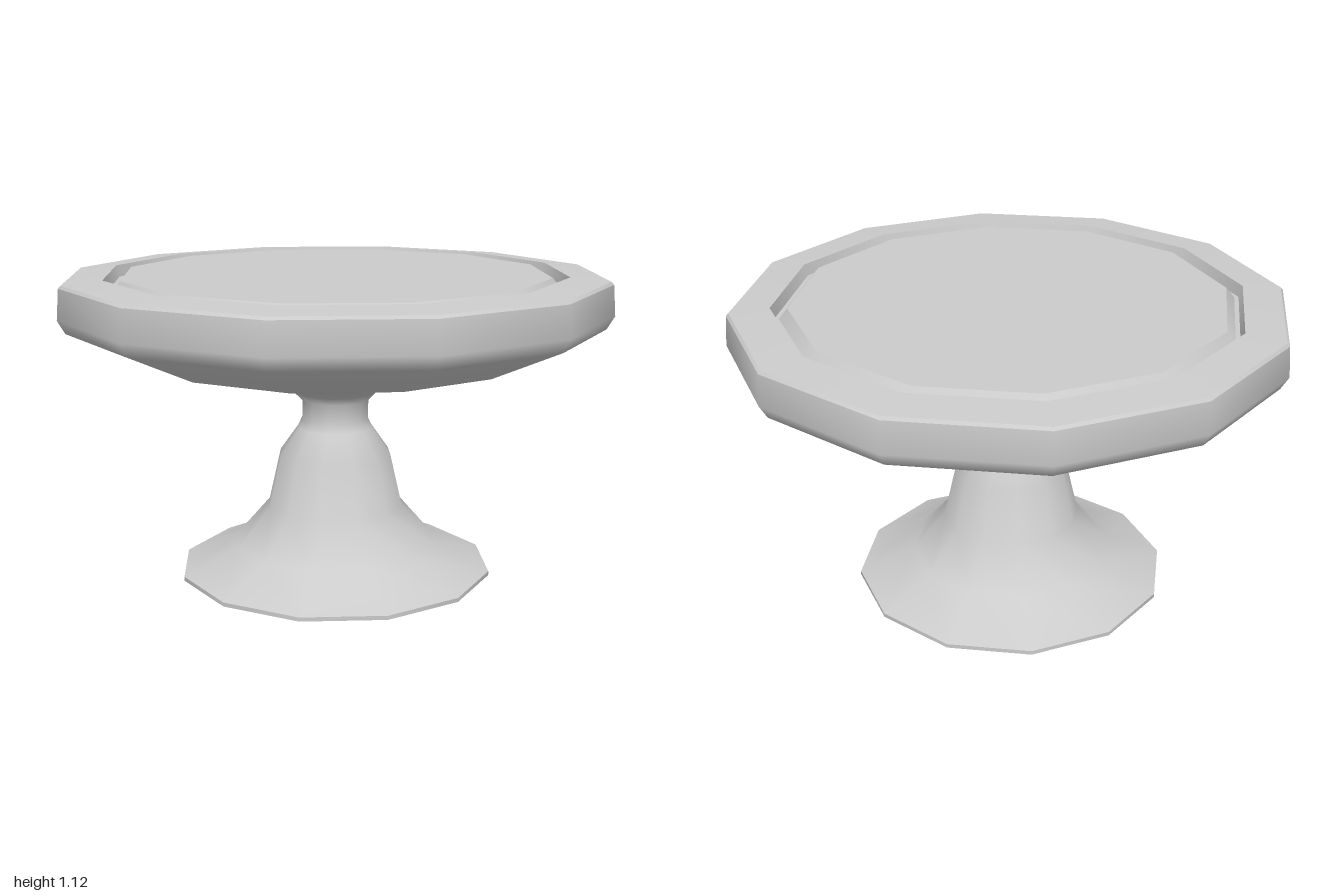
import * as THREE from 'three';

const SIDES = 12;

export function createModel() {
  const stand = new THREE.Group();
  stand.name = 'cakeStand';
  const material = new THREE.MeshStandardMaterial({ color: 0xcccccc });

  // One smooth band turned around the y axis; separate bands meet at sharp edges.
  // Profiles run from the underside, up the outside and in over the top.
  const band = (name, points) => {
    const profile = points.map(([r, y]) => new THREE.Vector2(r, y));
    const mesh = new THREE.Mesh(new THREE.LatheGeometry(profile, SIDES), material);
    mesh.name = name;
    stand.add(mesh);
  };

  // Foot
  band('footUnderside', [[0, 0], [0.585, 0]]);
  band('footRim', [[0.585, 0], [0.585, 0.015]]);

  // Flared foot, stem, waist and bowl-shaped underside up to the plate edge
  band('stemAndPlateUnderside', [
    [0.585, 0.015], [0.38, 0.105], [0.255, 0.25], [0.21, 0.445],
    [0.14, 0.545], [0.125, 0.578], [0.125, 0.65], [0.155, 0.68],
    [0.235, 0.72], [0.7, 0.82], [0.973, 0.943], [1, 0.99], [0.991, 1.1],
  ]);

  // Plate rim, rising slightly inward
  band('plateEdgeBevel', [[0.991, 1.1], [0.982, 1.11]]);
  band('plateRim', [[0.982, 1.11], [0.84, 1.122]]);

  // Groove around the raised centre disc
  band('grooveOuterWall', [[0.84, 1.122], [0.828, 1.08]]);
  band('grooveFloor', [[0.828, 1.08], [0.812, 1.08]]);
  band('centreBevel', [[0.812, 1.08], [0.78, 1.118]]);
  band('centreDisc', [[0.78, 1.118], [0, 1.118]]);

  return stand;
}
